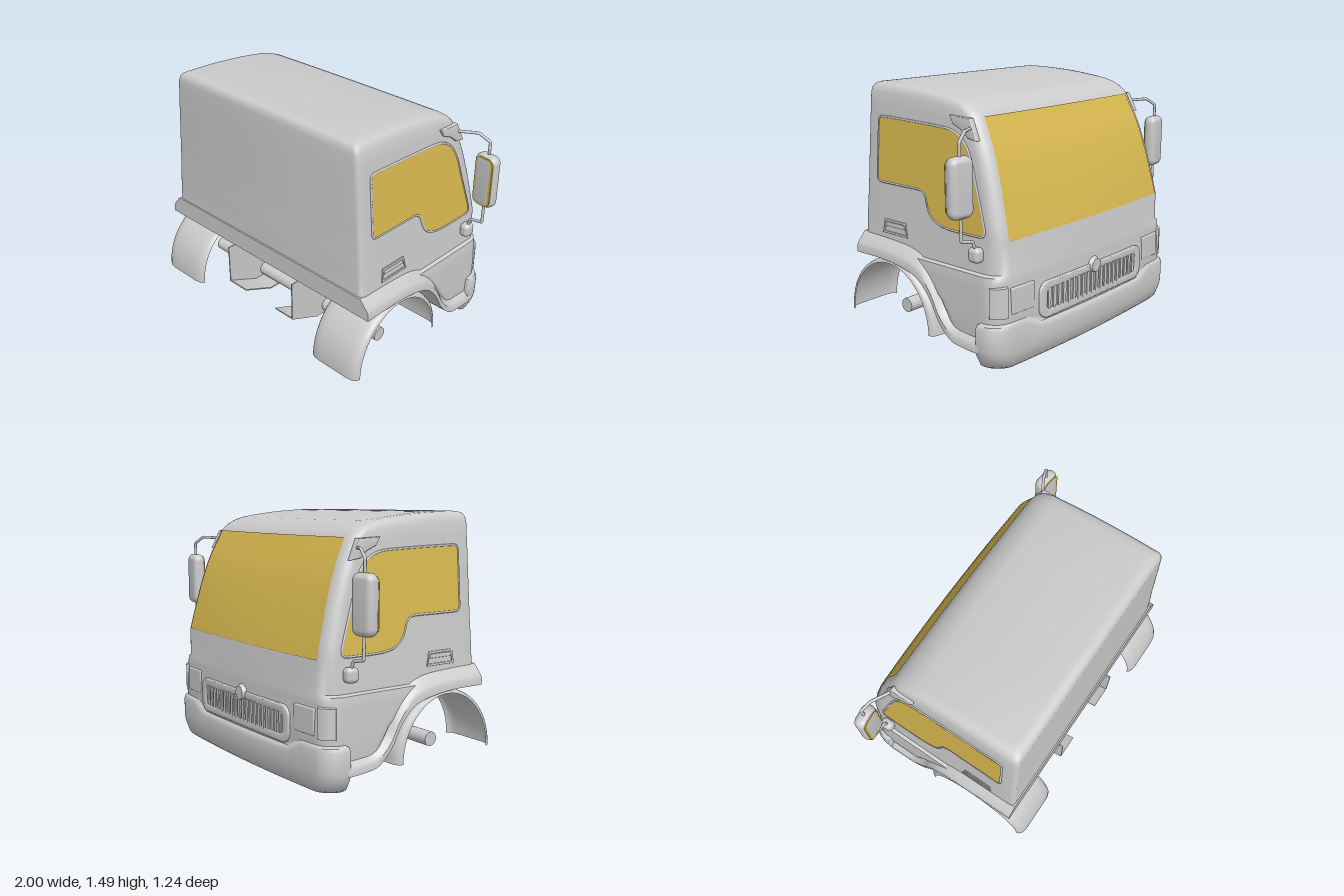
import * as THREE from 'three';
import { toCreasedNormals } from 'three/addons/utils/BufferGeometryUtils.js';
import { RoundedBoxGeometry } from 'three/addons/geometries/RoundedBoxGeometry.js';

const grey = new THREE.MeshStandardMaterial({ color: 0xcccccc, side: THREE.DoubleSide });
const glass = new THREE.MeshStandardMaterial({ color: 0xd9b950, side: THREE.DoubleSide });
const V = (x, y, z) => new THREE.Vector3(x, y, z);
const { lerp, smoothstep, degToRad } = THREE.MathUtils;

// half width of the leaning side wall, and how far the roof sinks towards the windscreen
const wall = (y) => 0.8 - 0.075 * (y - 0.6);
const sink = (y, z) => smoothstep(y, 1.15, 1.45) * 0.07 * Math.pow(Math.max(0, 0.45 - z) / 0.75, 2.2);

// surface through rows of points
function grid(rows, closed = false, crease = 0.6) {
  const n = rows[0].length, index = [];
  for (let i = 0; i < rows.length - 1; i++) {
    for (let j = 0; j < (closed ? n : n - 1); j++) {
      const k = (j + 1) % n, a = i * n + j, b = i * n + k, c = b + n, d = a + n;
      index.push(a, b, c, a, c, d);
    }
  }
  const g = new THREE.BufferGeometry().setFromPoints(rows.flat());
  g.setIndex(index);
  return toCreasedNormals(g, crease);
}

// plan outline: square-ish rear corners, rounded front corners, bowed front
function ring({ y, w, zF, zB, rf, rb, bow, s = 1 }) {
  const half = [[0, zB]], H = Math.PI / 2;
  for (let i = 0; i <= 4; i++) half.push([w - rb + rb * Math.sin(H * i / 4), zB - rb + rb * Math.cos(H * i / 4)]);
  const start = zF + rf + bow;
  for (let i = 1; i < 10; i++) half.push([w, lerp(zB - rb, start, i / 10)]);
  const front = (x, z) => half.push([x, z + bow * (x / w) ** 2]);
  for (let i = 0; i <= 8; i++) front(w - rf + rf * Math.cos(H * i / 8), zF + rf - rf * Math.sin(H * i / 8));
  for (let i = 1; i <= 6; i++) front((w - rf) * (1 - i / 6), zF);
  const left = half.map(([x, z]) => V(x * s, y, z));
  return left.concat(left.slice(1, -1).reverse().map((p) => V(-p.x, p.y, p.z)));
}
const loft = (levels) => grid([{ ...levels[0], s: 0 }, ...levels, { ...levels.at(-1), s: 0.5 }, { ...levels.at(-1), s: 0 }]
  .map((l) => ring(l).map((p) => V(p.x, p.y - sink(p.y, p.z), p.z))), true, 0.9);

// extrude a (z, y) shape along x so that its outer face lies at xOut, or on the side wall
function sideExtrude(shape, xOut, depth, bevel = 0, onWall = false) {
  const g = new THREE.ExtrudeGeometry(shape, { depth: depth - 2 * bevel, bevelEnabled: bevel > 0, bevelSize: bevel,
    bevelThickness: bevel, bevelOffset: -bevel, bevelSegments: 3, curveSegments: 32 });
  g.rotateY(-Math.PI / 2).translate(xOut - bevel, 0, 0);
  const p = g.attributes.position;
  if (onWall) for (let i = 0; i < p.count; i++) p.setX(i, p.getX(i) + wall(p.getY(i)));
  return toCreasedNormals(g, 0.6);
}
const poly = (pts) => new THREE.Shape(pts.map(([a, b]) => new THREE.Vector2(a, b)));
function roundRect(w, h, r) {
  const s = new THREE.Shape(), x = w / 2 - r, y = h / 2 - r;
  s.absarc(x, y, r, 0, Math.PI / 2).absarc(-x, y, r, Math.PI / 2, Math.PI);
  s.absarc(-x, -y, r, Math.PI, Math.PI * 1.5).absarc(x, -y, r, Math.PI * 1.5, Math.PI * 2);
  return s;
}
function mirrored(geo) {
  const g = geo.index ? geo.toNonIndexed() : geo.clone();
  g.scale(-1, 1, 1);
  for (const { array: a, itemSize: n } of Object.values(g.attributes)) {
    for (let t = 0; t < a.length; t += 3 * n) {
      for (let k = 0; k < n; k++) [a[t + n + k], a[t + 2 * n + k]] = [a[t + 2 * n + k], a[t + n + k]];
    }
  }
  return g;
}
function rod(pts, r) {
  const path = new THREE.CurvePath();
  for (let i = 1; i < pts.length; i++) path.add(new THREE.LineCurve3(pts[i - 1], pts[i]));
  return new THREE.TubeGeometry(new THREE.CatmullRomCurve3(path.getSpacedPoints(24)), 48, r, 10);
}

export function createModel() {
  const model = new THREE.Group();
  const add = (name, geo, mat = grey) => {
    const m = new THREE.Mesh(geo, mat);
    m.name = name;
    model.add(m);
  };
  const both = (name, geo, mat) => { add(name + 'Left', geo, mat); add(name + 'Right', mirrored(geo), mat); };

  // cab shell: height, half width, front z, rear z
  const cab = [
    [0.10, 0.82, -0.58, -0.40], [0.20, 0.83, -0.60, -0.22], [0.33, 0.83, -0.605, -0.14], [0.42, 0.83, -0.60, -0.04],
    [0.47, 0.83, -0.595, 0.06], [0.49, 0.83, -0.595, 0.50], [0.53, 0.825, -0.592, 0.515], [0.54, wall(0.54), -0.59, 0.515],
    [0.72, wall(0.72), -0.583, 0.515], [0.80, wall(0.8), -0.563, 0.513], [0.88, wall(0.88), -0.54, 0.51], [1.00, wall(1), -0.505, 0.51],
    [1.14, wall(1.14), -0.455, 0.508], [1.24, wall(1.24), -0.42, 0.508], [1.36, wall(1.36), -0.38, 0.506],
    [1.435, wall(1.435), -0.35, 0.505], [1.462, 0.728, -0.315, 0.502], [1.48, 0.715, -0.275, 0.492], [1.49, 0.695, -0.235, 0.475], [1.494, 0.66, -0.2, 0.44],
  ].map(([y, w, zF, zB]) => ({ y, w, zF, zB, rf: y < 0.6 ? 0.1 : 0.075, rb: 0.03, bow: lerp(0.03, 0.01, smoothstep(y, 0.6, 1.4)) }));
  add('cabShell', loft(cab));

  // windscreen over the sloping front
  add('windscreen', grid(cab.filter((l) => l.y >= 0.72 && l.y < 1.45).map(({ y, w, zF, rf, bow }) => Array.from({ length: 25 }, (_, i) => {
    const x = (w - rf) * (1 - i / 12), z = zF + bow * (x / w) ** 2;
    return V(x * 1.005, y - sink(y, z) + 0.002, z - 0.004);
  }))), glass);

  // side windows with seals
  const win = new THREE.Shape();
  win.moveTo(0.41, 0.95).lineTo(0.41, 1.27).quadraticCurveTo(0.41, 1.3, 0.38, 1.3).lineTo(-0.1, 1.288);
  win.bezierCurveTo(-0.28, 1.285, -0.325, 1.18, -0.365, 1.04).lineTo(-0.45, 0.78).quadraticCurveTo(-0.46, 0.735, -0.42, 0.735);
  win.lineTo(-0.2, 0.735).bezierCurveTo(-0.02, 0.74, -0.02, 0.83, 0, 0.88).quadraticCurveTo(0.02, 0.92, 0.07, 0.92);
  win.lineTo(0.38, 0.92).quadraticCurveTo(0.41, 0.92, 0.41, 0.95);
  both('sideWindow', sideExtrude(win, 0.004, 0.01, 0, true), glass);
  const seal = win.getPoints(8).slice(0, -1).map((p) => V(wall(p.y) + 0.001, p.y, p.x));
  both('sideWindowSeal', new THREE.TubeGeometry(new THREE.CatmullRomCurve3(seal, true, 'centripetal'), 160, 0.007, 6, true));

  // door handles: slanted frame around a grip
  const frame = poly([[0.35, 0.622], [0.34, 0.705], [0.16, 0.705], [0.14, 0.622]]);
  frame.holes.push(poly([[0.335, 0.635], [0.15, 0.635], [0.17, 0.692], [0.328, 0.692]]));
  both('doorHandleFrame', sideExtrude(frame, 0.006, 0.016, 0.002, true));
  both('doorHandle', sideExtrude(poly([[0.33, 0.665], [0.328, 0.69], [0.17, 0.69], [0.165, 0.665]]), 0.006, 0.016, 0.003, true));

  // flared fender skirt sweeping down to the bumper, carried under the cab
  const curve = (pts) => new THREE.SplineCurve(pts.map(([a, b]) => new THREE.Vector2(a, b))).getPoints(40);
  const upper = curve([[0.525, 0.6], [0.3, 0.595], [0.1, 0.58], [-0.02, 0.53], [-0.11, 0.43], [-0.18, 0.3], [-0.27, 0.225], [-0.36, 0.21], [-0.46, 0.205]]);
  const lower = curve([[0.525, 0.48], [0.3, 0.48], [0.12, 0.46], [0, 0.42], [-0.09, 0.33], [-0.16, 0.21], [-0.25, 0.125], [-0.35, 0.105], [-0.46, 0.1]]);
  const skirt = upper.map((u, k) => [[0, 0], [0.797, 0], [0.825, 0.26], [0.85, 0.5], [0.86, 0.66], [0.86, 1], [0, 1]]
    .map(([x, t]) => V(x, lerp(u.y, lower[k].y, t), lerp(u.x, lower[k].x, t))));
  skirt.unshift(skirt[0].map(() => V(0, 0.54, 0.525)));
  both('fenderSkirt', grid(skirt));

  // wheel mudguards: thin arched shells with rolled edges
  const roll = [[0.858, 0.045], [0.856, 0.03], [0.845, 0.015], [0.825, 0.005], [0.79, 0], [0.57, 0], [0.535, 0.005], [0.515, 0.015], [0.505, 0.03]];
  both('mudguard', grid(roll.map(([x, inset]) => Array.from({ length: 41 }, (_, i) => {
    const a = Math.PI * i / 40;
    return V(x, 0.1 + (0.385 - inset * 0.5) * Math.sin(a), 0.25 + (0.37 - inset) * Math.cos(a));
  })), false, 1));

  // chassis: webs, bottom flanges and axle
  const belly = [[0.55, 0.2], [0.34, 0.11], [0.14, 0.11], [-0.2, 0.15]];
  both('chassisWeb', sideExtrude(poly([[0.55, 0.455], ...belly, [-0.2, 0.35], [-0.1, 0.455]]), 0.288, 0.008));
  both('chassisFlange', sideExtrude(poly([...belly, ...belly.map(([z, y]) => [z, y + 0.008]).reverse()]), 0.288, 0.153));
  add('axle', new THREE.CylinderGeometry(0.043, 0.043, 1.44, 28).rotateZ(Math.PI / 2).translate(0, 0.163, 0.255));

  // bumper, lower in the middle under the grille
  const bumper = loft([[0.005, 0.8, -0.59, -0.45], [0.02, 0.822, -0.603, -0.442], [0.08, 0.85, -0.615, -0.438], [0.12, 0.858, -0.62, -0.436],
    [0.24, 0.86, -0.62, -0.44], [0.262, 0.852, -0.615, -0.445], [0.272, 0.835, -0.603, -0.46]]
    .map(([y, w, zF, zB]) => ({ y, w, zF, zB, rf: 0.11, rb: 0.008, bow: 0.03 })));
  const bp = bumper.attributes.position;
  for (let i = 0; i < bp.count; i++) {
    if (bp.getY(i) > 0.2) bp.setY(i, bp.getY(i) - 0.06 * (1 - smoothstep(Math.abs(bp.getX(i)), 0.48, 0.62)));
  }
  add('bumper', toCreasedNormals(bumper, 0.7));

  // grille: rounded frame bent to the bowed front, upright slats and a plain round boss
  const bowAt = (x) => 0.03 * (x / 0.83) ** 2;
  const rim = roundRect(0.99, 0.2, 0.06);
  rim.holes.push(roundRect(0.9, 0.135, 0.035));
  const rimGeo = new THREE.ExtrudeGeometry(rim, { depth: 0.02, bevelSize: 0.008, bevelThickness: 0.008, bevelSegments: 3 }).translate(0, 0.33, -0.608);
  const rp = rimGeo.attributes.position;
  for (let i = 0; i < rp.count; i++) rp.setZ(i, rp.getZ(i) + bowAt(rp.getX(i)));
  add('grilleFrame', toCreasedNormals(rimGeo, 0.6));
  for (let i = 0; i < 20; i++) {
    const x = -0.42 + i * 0.84 / 19;
    add('grilleSlat', new THREE.BoxGeometry(0.024, 0.14, 0.02).translate(x, 0.33, -0.602 + bowAt(x)));
  }
  add('grilleBoss', new THREE.CylinderGeometry(0.04, 0.052, 0.024, 28).rotateX(-Math.PI / 2).translate(0, 0.425, -0.61));

  // headlamps wrapping the front corners, with panels beside them
  const lampSection = [[0.3, -0.01], [0.305, 0.007], [0.475, 0.007], [0.48, -0.01]];
  both('headlamp', grid(lampSection.map(([y, out]) => Array.from({ length: 13 }, (_, i) => {
    const a = degToRad(18 + i * 5.5), r = 0.1 + (i === 0 || i === 12 ? -0.01 : out);
    const x = 0.73 + r * Math.cos(a);
    return V(x, y, -0.505 - r * Math.sin(a) + bowAt(x));
  }))));
  both('cornerPanel', new RoundedBoxGeometry(0.18, 0.15, 0.03, 3, 0.008).rotateY(-0.05).translate(0.63, 0.39, -0.577));

  // door mirrors on two arms
  both('mirrorHousing', toCreasedNormals(new THREE.ExtrudeGeometry(roundRect(0.15, 0.33, 0.045),
    { depth: 0.012, bevelSize: 0.035, bevelThickness: 0.034, bevelOffset: -0.035, bevelSegments: 6 }).rotateY(-0.12).translate(0.925, 1.025, -0.413), 0.6));
  both('mirrorGlass', new THREE.ExtrudeGeometry(roundRect(0.125, 0.305, 0.04), { depth: 0.008, bevelEnabled: false })
    .rotateY(-0.12).translate(0.924, 1.025, -0.376), glass);
  both('mirrorUpperArm', rod([V(0.74, 1.305, -0.32), V(0.86, 1.308, -0.385), V(0.925, 1.265, -0.41), V(0.925, 1.17, -0.41)], 0.009));
  both('mirrorLowerArm', rod([V(0.925, 0.88, -0.41), V(0.922, 0.735, -0.412), V(0.84, 0.72, -0.415), V(0.822, 0.67, -0.415)], 0.009));
  both('mirrorLowerBracket', new RoundedBoxGeometry(0.065, 0.085, 0.08, 4, 0.026).translate(0.818, 0.642, -0.415));
  both('mirrorUpperBracket', sideExtrude(poly([[-0.17, 1.36], [-0.2, 1.315], [-0.27, 1.285], [-0.31, 1.25], [-0.375, 1.24], [-0.32, 1.355]]), 0.014, 0.036, 0.006, true));

  return model;
}
